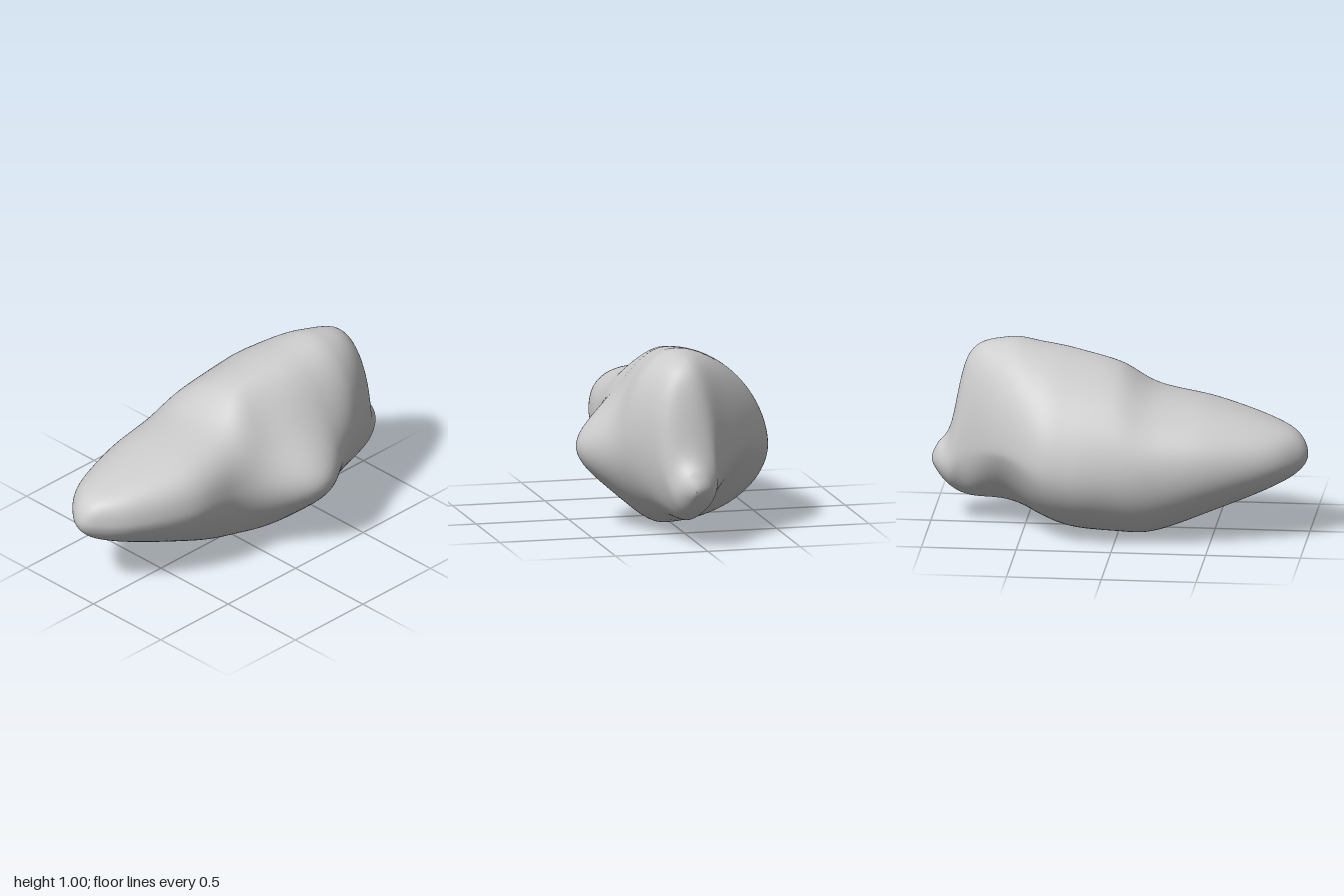
import * as THREE from 'three';
import { mergeVertices } from 'three/addons/utils/BufferGeometryUtils.js';

// Cross-sections of the body from the front tip to the back tip:
// z, right edge x y, left edge x y, crest height, keel height
const SECTIONS = [
  [1.00, -0.10, 0.45, -0.10, 0.45, 0.45, 0.45],
  [0.95, 0.00, 0.46, -0.205, 0.45, 0.56, 0.36],
  [0.80, 0.13, 0.46, -0.325, 0.45, 0.63, 0.27],
  [0.50, 0.265, 0.47, -0.43, 0.43, 0.71, 0.14],
  [0.20, 0.28, 0.46, -0.48, 0.41, 0.775, 0.02],
  [0.00, 0.29, 0.45, -0.50, 0.40, 0.895, 0.0],
  [-0.22, 0.305, 0.48, -0.51, 0.40, 0.95, 0.005],
  [-0.40, 0.325, 0.52, -0.475, 0.43, 0.98, 0.05],
  [-0.60, 0.325, 0.56, -0.32, 0.47, 1.00, 0.11],
  [-0.80, 0.235, 0.52, -0.13, 0.42, 0.91, 0.13],
  [-0.90, 0.17, 0.34, -0.075, 0.33, 0.52, 0.18],
  [-0.97, 0.12, 0.33, -0.02, 0.33, 0.41, 0.26],
  [-1.00, 0.05, 0.33, 0.05, 0.33, 0.33, 0.33],
];

const swell = (z, centre, width) => Math.exp(-(((z - centre) / width) ** 2));

// A section carried past the tip, so that both ends close as round domes
const pastTip = (tip, next) => next.map((v, k) => (k === 0 ? v : 2 * tip[k] - v));
const ROWS = [
  pastTip(SECTIONS[0], SECTIONS[1]),
  ...SECTIONS,
  pastTip(SECTIONS.at(-1), SECTIONS.at(-2)),
];

// Smooth blend between neighbouring cross-sections
function sectionAt(t) {
  const i = Math.min(Math.floor(t), SECTIONS.length - 2);
  const u = t - i;
  const [a, b, c, d] = ROWS.slice(i, i + 4);
  return b.map((p, k) => p + 0.5 * u * (c[k] - a[k]
    + u * (2 * a[k] - 5 * p + 4 * c[k] - d[k]
    + u * (3 * (p - c[k]) + d[k] - a[k]))));
}

// Closed outline of one section, made of four curved quarters
function sectionOutline([z, rightX, rightY, leftX, leftY, crestY, keelY], count) {
  const crestX = 0.05 - 0.15 * ((z + 1) / 2) ** 2;
  const keelX = -0.02 - 0.08 * Math.tanh(z / 0.2);
  const front = 0.5 + 0.5 * Math.tanh((z - 0.05) / 0.15);
  // Fullness of each quarter: 1 is elliptical, more is flatter or hollow
  const fullness = [
    0.97 - 0.2 * front + 0.2 * swell(z, -0.05, 0.15),
    1.1 - 0.15 * front,
    1 + 0.5 * swell(z, -0.62, 0.18),
    1.05 + 0.15 * front,
  ];
  let ring = [];
  for (let j = 0; j < count; j++) {
    const angle = j / count * Math.PI * 2;
    const co = Math.cos(angle), si = Math.sin(angle);
    const e = fullness[Math.floor(4 * j / count)];
    const [sideX, sideY] = co >= 0 ? [rightX, rightY] : [leftX, leftY];
    const [endX, endY] = si >= 0 ? [crestX, crestY] : [keelX, keelY];
    ring.push(new THREE.Vector2(
      endX + (sideX - endX) * Math.abs(co) ** e,
      sideY + (endY - sideY) * Math.abs(si) ** e,
    ));
  }
  // Soften the joints between quarters
  for (let pass = 0; pass < 4; pass++) {
    ring = ring.map((p, j) => p.clone().multiplyScalar(2)
      .add(ring[(j + 1) % count]).add(ring[(j + count - 1) % count]).multiplyScalar(0.25));
  }
  // Knob swelling out of the flank
  for (const p of ring) {
    p.x += 0.21 * swell(z, -0.21, 0.25) * swell(p.y, 0.42, 0.24)
      * THREE.MathUtils.smoothstep(p.x, 0, 0.25);
  }
  return ring;
}

// Loft the sections into one closed smooth skin
function boulderGeometry(steps = 120, around = 96) {
  const positions = [], index = [];
  for (let i = 0; i <= steps; i++) {
    const section = sectionAt(i / steps * (SECTIONS.length - 1));
    for (const p of sectionOutline(section, around)) positions.push(p.x, p.y, section[0]);
  }
  for (let i = 0; i < steps; i++) {
    for (let j = 0; j < around; j++) {
      const a = i * around + j, b = i * around + (j + 1) % around;
      index.push(a, a + around, b, b, a + around, b + around);
    }
  }
  const geometry = new THREE.BufferGeometry();
  geometry.setAttribute('position', new THREE.Float32BufferAttribute(positions, 3));
  geometry.setIndex(index);
  const merged = mergeVertices(geometry, 1e-5);
  merged.computeVertexNormals();
  return merged;
}

export function createModel() {
  const group = new THREE.Group();
  group.name = 'rock';
  const boulder = new THREE.Mesh(
    boulderGeometry(),
    new THREE.MeshStandardMaterial({ color: 0xcccccc }),
  );
  boulder.name = 'boulder';
  group.add(boulder);
  return group;
}
